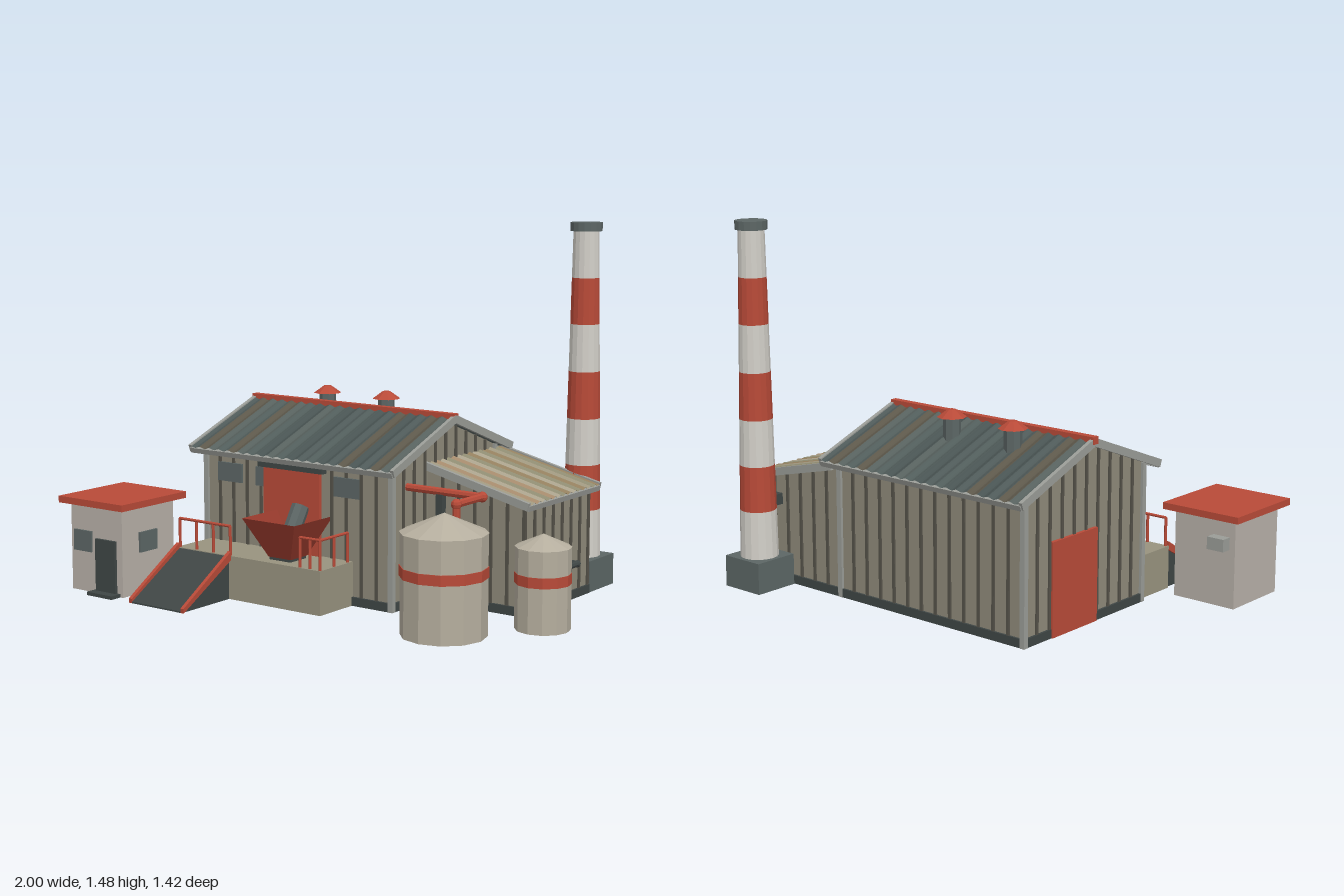
import * as THREE from 'three';

const mat = (color, extra = {}) =>
  new THREE.MeshStandardMaterial({ color, flatShading: true, ...extra });
const M = {
  wall: mat(0x8f8a7a), rib: mat(0x555249), dark: mat(0x3f4645), slate: mat(0x5c6665),
  red: mat(0xb84a38), trim: mat(0x9a9c97), white: mat(0xd2cfc8), tank: mat(0xb5ae9e),
  dock: mat(0x98937f), hut: mat(0xb7b0a8), hopper: mat(0x9c3c2e, { side: THREE.DoubleSide }),
};
const sheet = (c) => mat(c, { side: THREE.DoubleSide });
const ROOF = [0x4e5958, 0x56605d, 0x485352, 0x5c574a, 0x505c5a].map(sheet);
const RUSTY = [0x9f977f, 0xaaa28c, 0x94805f, 0xa58a6c, 0x8f8c72].map(sheet);

export function createModel() {
  const root = new THREE.Group();
  root.name = 'factory';

  const add = (name, geo, m, parent = root) => {
    const mesh = new THREE.Mesh(geo, m);
    mesh.name = name;
    parent.add(mesh);
    return mesh;
  };
  // box given by its limits on each axis
  const box = (name, m, x0, x1, y0, y1, z0, z1, parent = root) => {
    const b = add(name, new THREE.BoxGeometry(x1 - x0, y1 - y0, z1 - z0), m, parent);
    b.position.set((x0 + x1) / 2, (y0 + y1) / 2, (z0 + z1) / 2);
    return b;
  };
  // upright cylinder or cone from y0 to y1
  const drum = (name, m, x, z, y0, y1, r0, r1, sides, parent = root) => {
    const d = add(name, new THREE.CylinderGeometry(r1, r0, y1 - y0, sides), m, parent);
    d.position.set(x, (y0 + y1) / 2, z);
    return d;
  };
  // straight runs between points, with round elbows
  const pipe = (name, m, r, pts, elbow = r * 1.4) => {
    const g = new THREE.Group();
    g.name = name;
    root.add(g);
    const v = pts.map((p) => new THREE.Vector3(...p));
    for (let i = 0; i < v.length - 1; i++) {
      const d = v[i + 1].clone().sub(v[i]);
      const c = add('run', new THREE.CylinderGeometry(r, r, d.length(), 8), m, g);
      c.position.copy(v[i]).addScaledVector(d, 0.5);
      c.quaternion.setFromUnitVectors(new THREE.Vector3(0, 1, 0), d.normalize());
      if (i > 0) add('elbow', new THREE.SphereGeometry(elbow, 8, 6), m, g).position.copy(v[i]);
    }
    return g;
  };
  const extrude = (pts, depth) => new THREE.ExtrudeGeometry(
    new THREE.Shape(pts.map((p) => new THREE.Vector2(...p))), { depth, bevelEnabled: false });
  // profile in (z, y) extruded along x
  const sideExtrude = (name, m, pts, x0, x1) => {
    const e = add(name, extrude(pts.map(([z, y]) => [-z, y]), x1 - x0), m);
    e.rotation.y = Math.PI / 2;
    e.position.x = x0;
    return e;
  };

  // corrugated roof slope: runs down local +z from its top edge, framed by trim
  const slope = (name, mats, pos, yaw, pitch, width, len, count) => {
    const g = new THREE.Group();
    g.name = name;
    g.rotation.set(pitch, yaw, 0, 'YXZ');
    g.position.set(...pos);
    root.add(g);
    const w = width / count;
    for (let i = 0; i < count; i++) {
      const geo = new THREE.PlaneGeometry(w, len, 6, 1).rotateX(-Math.PI / 2);
      geo.translate(-width / 2 + (i + 0.5) * w, 0, len / 2);
      const p = geo.attributes.position;
      for (let k = 0; k < p.count; k++)
        p.setY(k, 0.004 * Math.cos((p.getX(k) + width / 2) / w * Math.PI * 2));
      geo.computeVertexNormals();
      add('roofSheet', geo, mats[(i * 3 + (i >> 2)) % mats.length], g);
    }
    box('roofDeck', M.slate, -width / 2, width / 2, -0.018, -0.006, 0, len, g);
    for (const s of [-1, 1])
      box('bargeBoard', M.trim, s * width / 2 - 0.008, s * width / 2 + 0.008, -0.024, 0.007, 0, len, g);
    box('eaveTrim', M.trim, -width / 2, width / 2, -0.026, -0.004, len - 0.012, len + 0.004, g);
  };

  // main hall
  const X0 = -0.63, X1 = 0.3, Z0 = -0.51, Z1 = 0.21, RZ = -0.15;
  const topAt = (z) => 0.7 - 0.38 * Math.abs(z - RZ);
  sideExtrude('hallWalls', M.wall, [[Z1, 0], [Z1, topAt(Z1)], [RZ, 0.7], [Z0, topAt(Z0)], [Z0, 0]], X0, X1);
  for (let i = 0; i <= 13; i++) {
    const x = X0 + (X1 - X0) * i / 13;
    for (const z of [Z0, Z1])
      box('wallRib', M.rib, x - 0.006, x + 0.006, 0, topAt(z), z - 0.007, z + 0.007);
  }
  for (let i = 1; i < 10; i++) {
    const z = Z0 + (Z1 - Z0) * i / 10;
    for (const x of [X0, X1])
      box('gableRib', M.rib, x - 0.007, x + 0.007, 0, topAt(z), z - 0.006, z + 0.006);
  }
  for (const x of [X0, X1]) for (const z of [Z0, Z1])
    box('cornerPost', M.trim, x - 0.011, x + 0.011, 0, topAt(z), z - 0.011, z + 0.011);
  box('hallPlinth', M.dark, X0 - 0.009, X1 + 0.009, 0, 0.035, Z0 - 0.009, Z1 + 0.009);

  // hall roof, ridge and vents
  const pitch = Math.atan(0.38), run = 0.425 / Math.cos(pitch);
  slope('frontRoof', ROOF, [-0.16, 0.722, RZ], 0, pitch, 1.01, run, 20);
  slope('backRoof', ROOF, [-0.16, 0.722, RZ], Math.PI, pitch, 1.01, run, 20);
  box('ridgeCap', M.red, -0.675, 0.352, 0.705, 0.734, RZ - 0.015, RZ + 0.015);
  for (const x of [-0.385, -0.08]) {
    drum('ventPipe', M.slate, x, -0.28, 0.64, 0.75, 0.035, 0.035, 8);
    drum('ventCap', M.red, x, -0.28, 0.745, 0.775, 0.058, 0.016, 8);
  }

  // doors and windows of the hall
  box('frontDoor', M.red, -0.32, -0.04, 0.175, 0.51, Z1, 0.226);
  box('doorHeader', M.dark, -0.34, -0.015, 0.508, 0.535, Z1, 0.24);
  box('sideDoor', M.red, X0 - 0.014, X0, 0, 0.37, -0.36, -0.09);
  for (const x of [-0.502, -0.303, 0.09])
    box('hallWindow', M.slate, x - 0.062, x + 0.062, 0.425, 0.502, Z1, 0.221);

  // annex with lean-to roof
  const AX = 0.745, AZ0 = -0.51, AZ1 = -0.03;
  add('annexWalls', extrude([[X1, 0], [AX, 0], [AX, 0.42], [X1, 0.524]], AZ1 - AZ0), M.wall).position.z = AZ0;
  for (let i = 1; i <= 6; i++) {
    const x = X1 + (AX - X1) * i / 6, h = 0.524 - 0.234 * (x - X1);
    for (const z of [AZ0, AZ1])
      box('annexRib', M.rib, x - 0.006, x + 0.006, 0, h, z - 0.007, z + 0.007);
  }
  for (let i = 0; i <= 7; i++) {
    const z = AZ0 + (AZ1 - AZ0) * i / 7;
    box('annexRib', M.rib, AX - 0.007, AX + 0.007, 0, 0.42, z - 0.006, z + 0.006);
  }
  box('annexPlinth', M.dark, X1, AX + 0.009, 0, 0.035, AZ0 - 0.009, AZ1 + 0.009);
  slope('annexRoof', RUSTY, [0.3, 0.549, -0.288], Math.PI / 2, 0.23, 0.54, 0.485, 14);

  // banded chimney
  const CX = 0.655, CZ = -0.62;
  box('chimneyBase', M.slate, 0.56, 0.752, 0, 0.127, -0.715, -0.523);
  const levels = [0.127, 0.32, 0.503, 0.69, 0.88, 1.07, 1.255, 1.44];
  const rAt = (y) => 0.077 - 0.025 * (y - 0.127) / 1.313;
  for (let i = 0; i < 7; i++)
    drum('chimneyBand', i % 2 ? M.red : M.white, CX, CZ, levels[i], levels[i + 1], rAt(levels[i]), rAt(levels[i + 1]), 16);
  drum('chimneyCap', M.slate, CX, CZ, 1.44, 1.475, 0.064, 0.064, 16);
  box('flue', M.dark, CX - 0.025, CX + 0.025, 0.32, 0.365, -0.57, AZ0);

  // storage tanks
  const tank = (x, z, r, h, top, band) => {
    drum('tankBody', M.tank, x, z, 0, h, r, r, 12);
    drum('tankRoof', M.tank, x, z, h, top, r * 1.02, 0.002, 12);
    drum('tankBand', M.red, x, z, band, band + 0.04, r * 1.02, r * 1.02, 12);
  };
  tank(0.643, 0.362, 0.163, 0.385, 0.456, 0.22);
  tank(0.89, 0.072, 0.105, 0.313, 0.36, 0.175);

  // pipework
  pipe('feedPipe', M.red, 0.015, [[0.29, 0.475, 0.108], [0.643, 0.475, 0.108], [0.643, 0.475, 0.283], [0.643, 0.4, 0.283]]);
  box('pipeSupport', M.dark, 0.442, 0.47, 0, 0.465, 0.095, 0.122);
  pipe('drainPipe', M.dark, 0.012, [[0.74, 0.2, -0.18], [0.89, 0.2, -0.18], [0.89, 0.2, 0]], 0.014);

  // loading dock and ramp
  box('loadingDock', M.dock, -0.615, 0.115, 0, 0.175, Z1, 0.42);
  sideExtrude('ramp', M.dark, [[0.42, 0], [0.7, 0], [0.7, 0.006], [0.42, 0.172]], -0.605, -0.34);
  for (const x of [-0.608, -0.337])
    sideExtrude('rampKerb', M.red, [[0.42, 0.158], [0.7, 0], [0.702, 0.018], [0.42, 0.193]], x - 0.008, x + 0.008);

  // dock railings
  const railing = (a, b, posts) => {
    pipe('railing', M.red, 0.006, [[a[0], 0.292, a[1]], [b[0], 0.292, b[1]]]);
    for (let i = 0; i < posts; i++) {
      const t = i / (posts - 1);
      drum('railPost', M.red, a[0] + (b[0] - a[0]) * t, a[1] + (b[1] - a[1]) * t, 0.175, 0.292, 0.006, 0.006, 6);
    }
  };
  railing([-0.605, 0.41], [-0.34, 0.41], 4);
  railing([0.01, 0.41], [0.107, 0.41], 3);
  railing([0.107, 0.41], [0.107, 0.235], 3);

  // hopper: open four-sided funnel with a chute
  const funnel = new THREE.CylinderGeometry(0.13 * Math.SQRT2, 0.055 * Math.SQRT2, 0.155, 4, 1, true).rotateY(Math.PI / 4);
  const hopper = add('hopper', funnel, M.hopper);
  hopper.position.set(-0.12, 0.263, 0.322);
  hopper.scale.z = 0.94;
  box('hopperFoot', M.dark, -0.172, -0.068, 0.175, 0.195, 0.272, 0.372);
  pipe('chute', M.slate, 0.036, [[-0.12, 0.21, 0.34], [-0.12, 0.37, 0.24]]);

  // gatehouse
  box('gatehouseWalls', M.hut, -0.965, -0.687, 0, 0.356, 0.36, 0.66);
  box('gatehouseRoof', M.red, -1, -0.652, 0.356, 0.383, 0.32, 0.695);
  box('gatehouseDoor', M.dark, -0.825, -0.718, 0.01, 0.225, 0.66, 0.672);
  box('doorStep', M.dark, -0.838, -0.702, 0, 0.014, 0.66, 0.71);
  box('frontWindow', M.slate, -0.945, -0.85, 0.165, 0.25, 0.66, 0.669);
  box('sideWindow', M.slate, -0.687, -0.678, 0.168, 0.25, 0.465, 0.565);
  box('coolingUnit', M.trim, -0.94, -0.865, 0.235, 0.285, 0.315, 0.36);

  return root;
}
